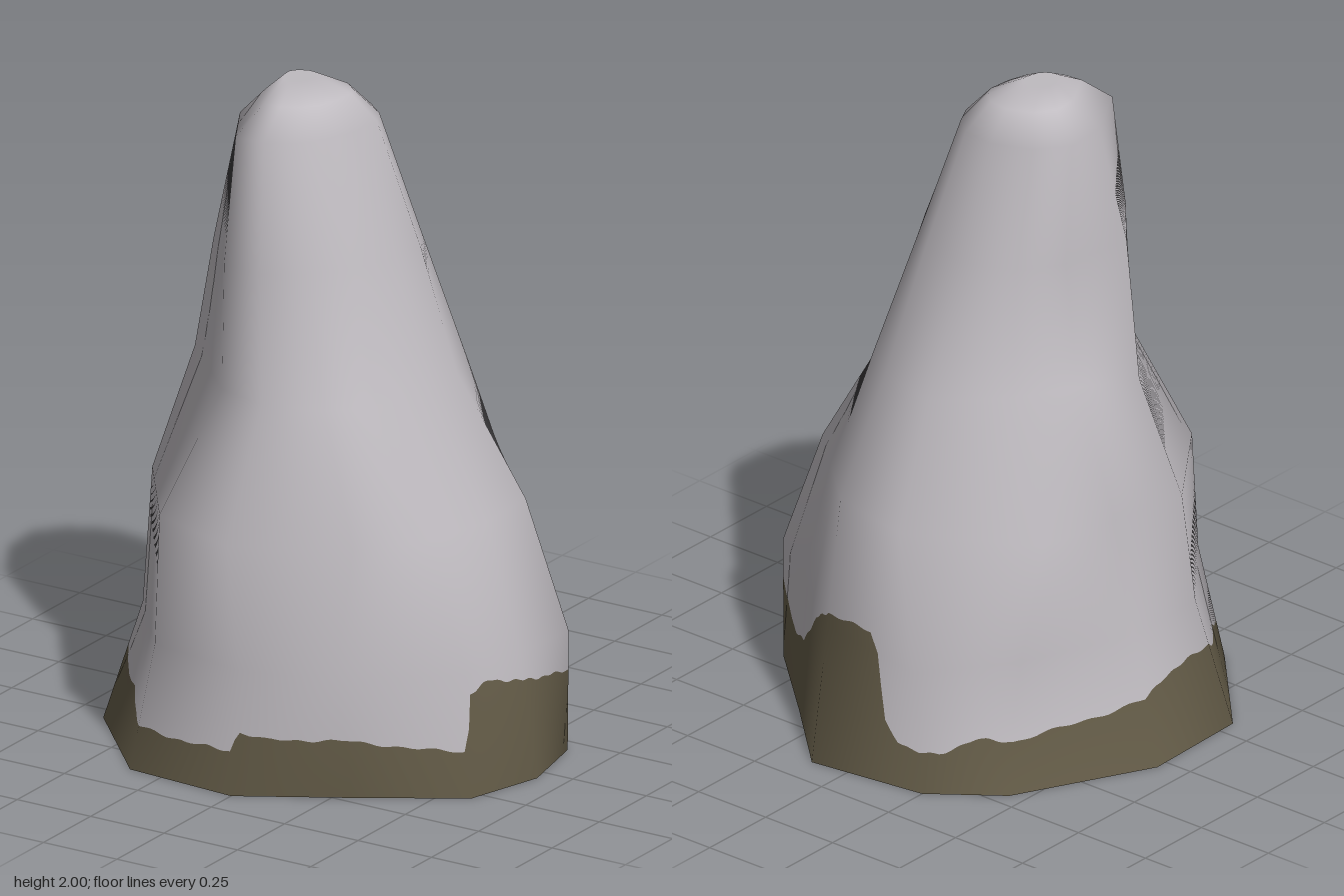
import * as THREE from 'three';

// Cross-sections from the ground up: height, then 12 corners (x, z)
// running left edge -> front -> right edge -> back.
const sections = [
  [0, [-.66, -.04, -.65, .31, -.36, .62, 0, .645, .3, .47, .59, .29, .66, .05, .61, -.19, .36, -.42, .12, -.65, -.25, -.6, -.45, -.45]],
  [.37, [-.54, 0, -.535, .28, -.32, .55, 0, .6, .28, .52, .57, .28, .6, .05, .62, -.18, .37, -.37, .17, -.52, -.21, -.59, -.4, -.34]],
  [.75, [-.51, -.05, -.56, .19, -.33, .51, -.03, .62, .29, .45, .43, .28, .49, .05, .48, -.17, .32, -.32, .18, -.45, -.09, -.51, -.46, -.31]],
  [1.12, [-.36, -.03, -.46, .12, -.2, .38, -.04, .42, .14, .37, .25, .26, .28, .05, .29, -.1, .24, -.23, .12, -.32, -.08, -.37, -.26, -.2]],
  [1.5, [-.31, -.03, -.345, .2, -.2, .37, -.07, .38, .04, .31, .13, .2, .18, .05, .2, -.05, .14, -.15, .07, -.2, -.08, -.21, -.23, -.15]],
  [1.87, [-.31, 0, -.3, .13, -.2, .31, -.11, .3, -.03, .26, .03, .19, .06, .09, .07, -.02, .04, -.08, -.02, -.13, -.12, -.14, -.24, -.09]],
];
const SIDES = 12, FINE = 24;

// Upper edge of the earth band: corner position along the outline, height
const bandEdge = [
  [0, .19], [.3, .22], [1, .24], [1.3, .18], [1.6, .19], [1.9, .13], [2.5, .12], [2.97, .13], [3.02, .19],
  [3.3, .17], [4, .18], [4.6, .15], [4.98, .14], [5.03, .31], [5.4, .33], [6, .29], [6.7, .26], [7, .25],
  [7.3, .2], [7.6, .18], [8, .21], [8.5, .34], [9, .41], [9.5, .42], [9.6, .36], [9.65, .2], [9.8, .13],
  [10.2, .12], [10.6, .16], [11, .15], [11.6, .17], [12, .19],
];

function bandHeight(u) {
  const k = Math.max(1, bandEdge.findIndex(p => p[0] >= u));
  const [u0, h0] = bandEdge[k - 1], [u1, h1] = bandEdge[k];
  const wobble = .006 * Math.sin(u * 2 * Math.PI) * Math.sin(u * 5 * Math.PI);
  return h0 + (h1 - h0) * (u - u0) / (u1 - u0) + wobble;
}

// Closed rings joined into a side wall; returns triangle indices
function wallIndices(columns, row) {
  const out = [];
  for (let i = 0; i < columns; i++) {
    const a = row * columns + i, b = row * columns + (i + 1) % columns;
    out.push(a, b, b + columns, a, b + columns, a + columns);
  }
  return out;
}

export function createModel() {
  const group = new THREE.Group();
  group.name = 'rock';

  // Rounded shoulder and small tip, shrunk from the last section about a centre
  const shrink = (y, s, centre) =>
    [y, sections[5][1].map((v, k) => centre[k % 2] + (v - centre[k % 2]) * s)];
  const rings = [...sections, shrink(1.95, .62, [-.11, .06]), shrink(1.997, .24, [-.14, .07])];

  // Coarse shape, used for its smooth normals
  const coarse = new THREE.BufferGeometry();
  const points = rings.flatMap(([y, c]) =>
    Array.from({ length: SIDES }, (_, i) => [c[2 * i], y, c[2 * i + 1]]).flat());
  coarse.setAttribute('position', new THREE.Float32BufferAttribute(points, 3));
  coarse.setIndex(rings.slice(1).flatMap((_, r) => wallIndices(SIDES, r)));
  coarse.computeVertexNormals();
  for (let i = 0; i < SIDES; i++) {
    coarse.attributes.normal.setXYZ((rings.length - 1) * SIDES + i, 0, 1, 0);
  }

  // Value of an attribute at outline position u and height y
  const sample = (attribute, u, y) => {
    let r = 0;
    while (r < rings.length - 2 && y > rings[r + 1][0]) r++;
    const t = (y - rings[r][0]) / (rings[r + 1][0] - rings[r][0]);
    const i = Math.floor(u) % SIDES, j = (i + 1) % SIDES, f = u - Math.floor(u);
    const at = (row, col) => new THREE.Vector3().fromBufferAttribute(attribute, row * SIDES + col);
    return at(r, i).lerp(at(r, j), f).lerp(at(r + 1, i).lerp(at(r + 1, j), f), t);
  };

  // Fine surface with a row of vertices along the earth edge
  const rowHeights = [
    () => 0,
    h => (h > .37 ? .37 : h / 2),
    h => h,
    h => Math.max(.37, h + .02),
    ...rings.slice(2).map(([y]) => () => y),
  ];
  const columns = SIDES * FINE, pos = [], nor = [];
  for (const height of rowHeights) {
    for (let i = 0; i < columns; i++) {
      const u = i / FINE, y = height(bandHeight(u));
      pos.push(...sample(coarse.attributes.position, u, y).toArray());
      nor.push(...sample(coarse.attributes.normal, u, y).normalize().toArray());
    }
  }
  // Centre of the tip
  const tip = pos.length / 3;
  pos.push(-.12, 2, .06);
  nor.push(0, 1, 0);
  const position = new THREE.Float32BufferAttribute(pos, 3);
  const normal = new THREE.Float32BufferAttribute(nor, 3);

  const addPart = (name, index, material) => {
    const geometry = new THREE.BufferGeometry();
    geometry.setAttribute('position', position);
    geometry.setAttribute('normal', normal);
    geometry.setIndex(index);
    const mesh = new THREE.Mesh(geometry, material);
    mesh.name = name;
    group.add(mesh);
  };

  const stone = new THREE.MeshStandardMaterial({ color: 0xbfbbc0, side: THREE.DoubleSide });
  stone.name = 'grey stone';
  const earth = new THREE.MeshStandardMaterial({ color: 0x635b47, side: THREE.DoubleSide });
  earth.name = 'brown earth';

  // Earth band around the foot, then the stone with its closed tip
  const last = rowHeights.length - 1, stoneIndex = [];
  for (let r = 2; r < last; r++) stoneIndex.push(...wallIndices(columns, r));
  for (let i = 0; i < columns; i++) {
    stoneIndex.push(last * columns + i, last * columns + (i + 1) % columns, tip);
  }
  addPart('earthBand', [0, 1].flatMap(r => wallIndices(columns, r)), earth);
  addPart('stoneBody', stoneIndex, stone);
  return group;
}
